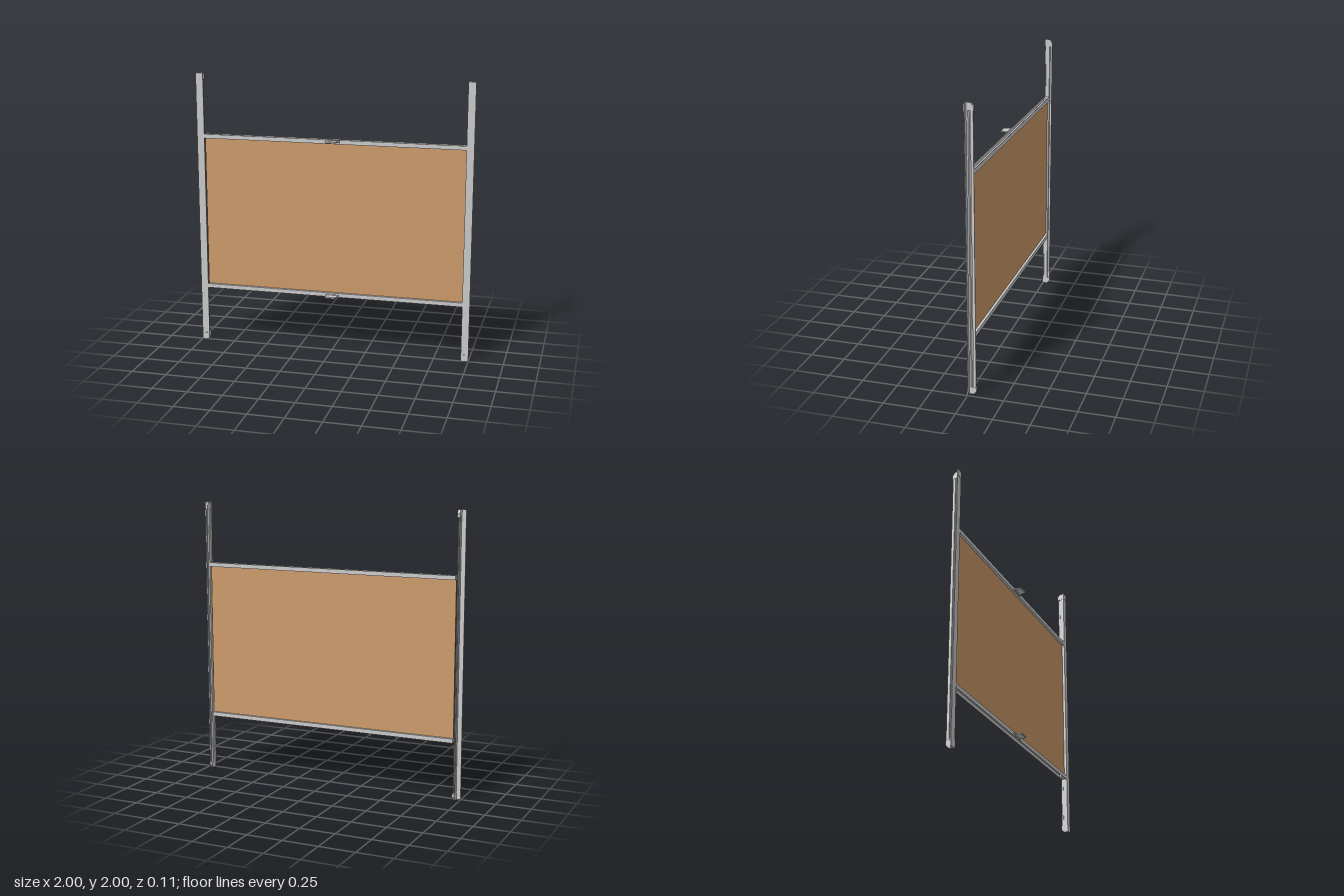
import * as THREE from 'three';

const aluminium = new THREE.MeshStandardMaterial({ color: 0xcacaca });
aluminium.name = 'light grey aluminium';
const cloth = new THREE.MeshStandardMaterial({ color: 0xcc9a6a });
cloth.name = 'tan cloth';

const outline = (points) => new THREE.Shape(points.map(([x, y]) => new THREE.Vector2(x, y)));
const extrude = (points, depth) =>
  new THREE.ExtrudeGeometry(outline(points), { depth, bevelEnabled: false });

function add(parent, name, geometry, material = aluminium) {
  const mesh = new THREE.Mesh(geometry, material);
  mesh.name = name;
  parent.add(mesh);
  return mesh;
}

function box(parent, name, size, position, material) {
  const mesh = add(parent, name, new THREE.BoxGeometry(...size), material);
  mesh.position.set(...position);
  return mesh;
}

// Upright guide: front flange with a folded web behind it, capped at both ends
function guideRail() {
  const group = new THREE.Group();
  // Plan section, written as [x, distance behind the front]
  const section = [
    [0.946, 0], [1, 0], [1, 0.005], [0.968, 0.005], [0.968, 0.015],
    [0.959, 0.022], [0.959, 0.029], [0.968, 0.031], [0.968, 0.05],
    [0.962, 0.05], [0.962, 0.036], [0.953, 0.032], [0.953, 0.005], [0.946, 0.005],
  ];
  const rail = add(group, 'railProfile', extrude(section, 1.9).rotateX(-Math.PI / 2));
  rail.position.y = 0.05;
  for (const end of [-1, 1]) {
    const cap = new THREE.Group();
    cap.name = 'endCap';
    box(cap, 'capPlate', [0.054, 0.05, 0.008], [0.973, 1 + end * 0.975, -0.001]);
    // Side outline with its outer back corner cut off
    const side = [[0, 0.95], [0.053, 0.95], [0.053, 0.976], [0.034, 1], [0, 1]];
    const points = side.map(([d, y]) => [d, 1 + end * y]);
    const block = add(cap, 'capBlock', extrude(points, 0.018).rotateY(Math.PI / 2));
    block.position.x = 0.952;
    group.add(cap);
  }
  return group;
}

// Cross rail: open channel with plugs at its ends
function crossRail() {
  const group = new THREE.Group();
  // Section, written as [distance behind the front, y]
  const section = [
    [0, 1.53], [0.04, 1.53], [0.04, 1.56], [0.036, 1.56],
    [0.036, 1.537], [0.004, 1.537], [0.004, 1.56], [0, 1.56],
  ];
  const channel = add(group, 'channel', extrude(section, 1.89).rotateY(Math.PI / 2));
  channel.position.x = -0.945;
  for (const s of [-1, 1]) {
    box(group, 'endPlug', [0.06, 0.018, 0.028], [s * 0.914, 1.546, -0.02]);
  }
  return group;
}

// Finger grip: tapered tab with a base collar and a thicker front lip
function handle(y) {
  const group = new THREE.Group();
  group.name = 'handle';
  const plan = [[-0.05, 0], [0.05, 0], [0.038, -0.05], [0.033, -0.055], [-0.033, -0.055], [-0.038, -0.05]];
  add(group, 'gripTab', extrude(plan, 0.008).rotateX(-Math.PI / 2)).position.y = y - 0.002;
  box(group, 'gripCollar', [0.106, 0.02, 0.006], [0, y, 0.003]);
  box(group, 'gripLip', [0.07, 0.011, 0.006], [0, y + 0.0005, 0.05]);
  return group;
}

export function createModel() {
  const model = new THREE.Group();
  model.name = 'windowBlind';

  // The second rail of each pair is the first one turned half a circle
  const pairs = [['leftGuideRail', 'rightGuideRail', guideRail, 1], ['topRail', 'bottomRail', crossRail, 0.9825]];
  for (const [name, oppositeName, build, centreY] of pairs) {
    const first = build();
    first.name = name;
    const second = build();
    second.name = oppositeName;
    second.rotation.z = Math.PI;
    second.position.y = 2 * centreY;
    model.add(first, second);
  }

  box(model, 'cloth', [1.89, 1.1, 0.004], [0, 0.9825, -0.02], cloth);
  model.add(handle(1.548), handle(0.414));
  return model;
}
